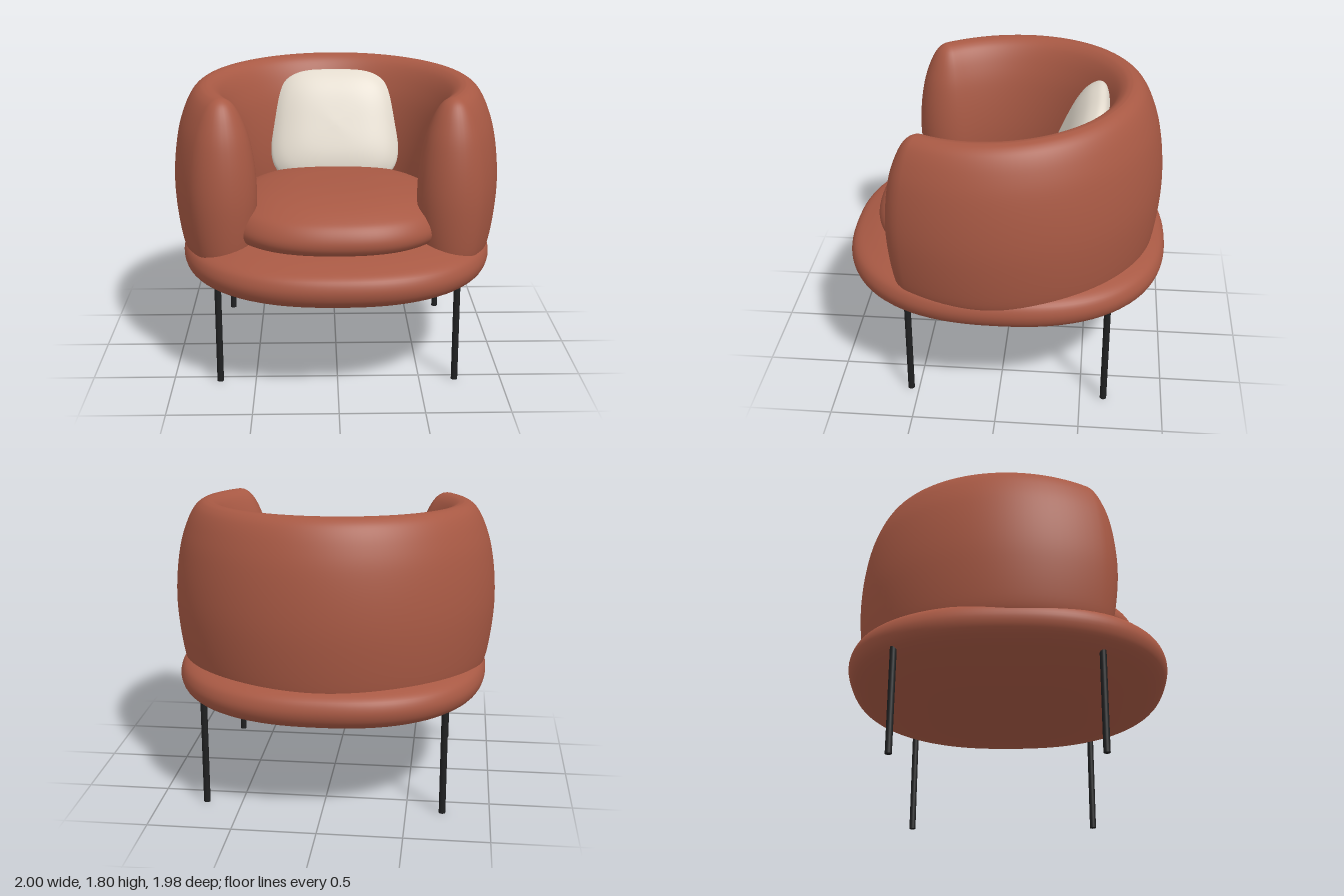
import * as THREE from 'three';
import { mergeVertices } from 'three/addons/utils/BufferGeometryUtils.js';

const SQUARENESS = 2.4;

// Smooth profile through [radius, height] pairs, kept on the outer side of the axis
function profile(pairs, steps) {
  const curve = new THREE.SplineCurve(pairs.map(([r, y]) => new THREE.Vector2(r, y)));
  return curve.getPoints(steps).map((p) => new THREE.Vector2(Math.max(p.x, 0), p.y));
}

// Upholstered pad: a unit lathe pushed out to a superellipse outline
function pad(pairs, rx, rz, power = SQUARENESS, taper = 0) {
  const lathe = new THREE.LatheGeometry(profile(pairs, 40), 96);
  const pos = lathe.attributes.position;
  for (let i = 0; i < pos.count; i++) {
    const x = pos.getX(i), z = pos.getZ(i);
    const r = Math.hypot(x, z);
    if (r < 1e-6) continue;
    const c = Math.abs(x / r), s = Math.abs(z / r);
    const k = Math.pow(Math.pow(c, power) + Math.pow(s, power), -1 / power);
    pos.setX(i, x * k * rx * (1 + taper * z * k));
    pos.setZ(i, z * k * rz);
  }
  lathe.deleteAttribute('normal');
  lathe.deleteAttribute('uv');
  const geometry = mergeVertices(lathe, 1e-5);
  geometry.computeVertexNormals();
  return geometry;
}

// Wraparound back: horizontal slices, each a rounded stroke along a circular arc
function wraparound() {
  const radius = 0.79, centreZ = 0.05, overrun = 0.53;
  const N = 80, K = 16;

  // Outline entries: centre point plus unit direction of offset
  const outline = [];
  const add = (angle, turn) => {
    const x = radius * Math.cos(angle), z = centreZ - radius * Math.sin(angle);
    outline.push([x, z, Math.cos(angle + turn), -Math.sin(angle + turn)]);
  };
  const start = -overrun, end = Math.PI + overrun;
  const along = (i) => start + (end - start) * (i / N);
  for (let i = 0; i <= N; i++) add(along(i), 0);
  for (let k = 1; k < K; k++) add(end, Math.PI * k / K);
  for (let i = N; i >= 0; i--) add(along(i), Math.PI);
  for (let k = 1; k < K; k++) add(start, Math.PI * (1 + k / K));

  // Half thickness against height
  const foot = 0.72, top = 1.765, M = outline.length;
  const rows = profile([
    [0, foot], [0.1, 0.73], [0.155, 0.77], [0.188, 0.92], [0.207, 1.13], [0.2, 1.32],
    [0.172, 1.5], [0.13, 1.63], [0.085, 1.715], [0.04, 1.755], [0, top],
  ], 50);
  const vertices = [], index = [];
  rows.forEach((row, j) => {
    outline.forEach(([x, z, dx, dz], i) => {
      // The rim rises gently towards the back
      const rise = (-0.054 * z) * (row.y - foot) / (top - foot);
      vertices.push(x + dx * row.x, row.y + rise, z + dz * row.x);
      if (j === rows.length - 1) return;
      const a = j * M + i, b = j * M + (i + 1) % M;
      index.push(a, b, b + M, a, b + M, a + M);
    });
  });
  const slices = new THREE.BufferGeometry();
  slices.setAttribute('position', new THREE.Float32BufferAttribute(vertices, 3));
  slices.setIndex(index);
  // Join the two sides along the ridge so that it shades smoothly
  const geometry = mergeVertices(slices, 1e-5);
  geometry.computeVertexNormals();
  return geometry;
}

export function createModel() {
  const fabric = new THREE.MeshStandardMaterial({ name: 'terracotta fabric', color: 0xa85944 });
  const linen = new THREE.MeshStandardMaterial({ name: 'cream linen', color: 0xe4dccf });
  const metal = new THREE.MeshStandardMaterial({ name: 'black metal', color: 0x1f2021 });

  const chair = new THREE.Group();
  chair.name = 'armchair';
  const add = (name, geometry, material) => {
    const mesh = new THREE.Mesh(geometry, material);
    mesh.name = name;
    chair.add(mesh);
    return mesh;
  };

  // Bowl-bottomed base
  add('base', pad([
    [0, 0.482], [0.28, 0.487], [0.55, 0.525], [0.8, 0.58], [0.91, 0.617], [0.975, 0.66],
    [1, 0.72], [0.99, 0.775], [0.96, 0.81], [0.9, 0.835], [0.78, 0.866], [0.55, 0.895], [0, 0.9],
  ], 0.955, 0.99), fabric);

  // Domed seat cushion
  add('seatCushion', pad([
    [0, 0.85], [0.6, 0.855], [0.9, 0.872], [0.98, 0.905], [1, 0.96], [0.96, 1.025],
    [0.88, 1.072], [0.7, 1.122], [0.4, 1.155], [0, 1.163],
  ], 0.68, 0.68), fabric).position.z = 0.13;

  add('wraparoundBack', wraparound(), fabric);

  // Back pillow leaning against the backrest
  const pillow = add('backPillow', pad([
    [0, -0.12], [0.5, -0.11], [0.8, -0.08], [0.96, -0.035], [1, 0],
    [0.96, 0.035], [0.8, 0.08], [0.5, 0.11], [0, 0.12],
  ], 0.41, 0.38, 3.6, 0.08), linen);
  pillow.position.set(0, 1.37, -0.42);
  pillow.rotation.x = Math.PI / 2 - 0.4;

  // Four slender legs
  const legHeight = 0.65;
  const legGeometry = new THREE.CylinderGeometry(0.02, 0.02, legHeight, 20);
  for (const [end, z] of [['front', 0.55], ['back', -0.645]]) {
    for (const [side, x] of [['Left', 0.717], ['Right', -0.717]]) {
      add(`${end}${side}Leg`, legGeometry, metal).position.set(x, legHeight / 2, z);
    }
  }
  return chair;
}
